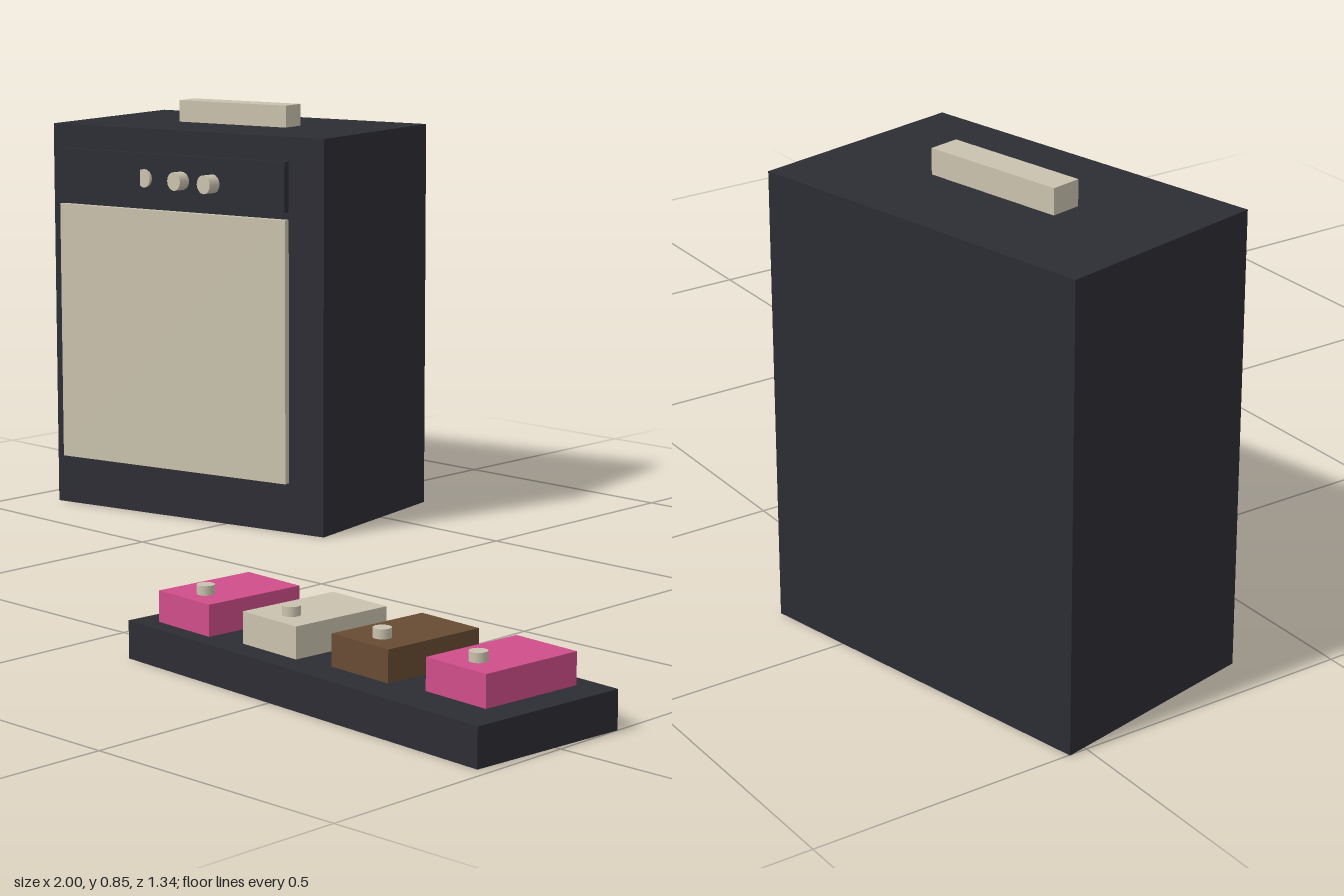
import * as THREE from 'three';

const mat = (name, color) => {
  const m = new THREE.MeshStandardMaterial({ color });
  m.name = name;
  return m;
};

export function createModel() {
  const dark = mat('charcoal', 0x2c2c34);
  const cream = mat('cream', 0xcac2ae);
  const pink = mat('pink', 0xcf4d8a);
  const brown = mat('brown', 0x674b33);

  const add = (parent, name, geometry, material, x, y, z) => {
    const mesh = new THREE.Mesh(geometry, material);
    mesh.name = name;
    mesh.position.set(x, y, z);
    parent.add(mesh);
    return mesh;
  };
  // box standing on a given base height
  const box = (parent, name, material, [w, h, d], [x, base, z]) =>
    add(parent, name, new THREE.BoxGeometry(w, h, d), material, x, base + h / 2, z);

  const model = new THREE.Group();
  model.name = 'amplifierAndPedals';

  // Amplifier, turned on the floor
  const amp = new THREE.Group();
  amp.name = 'amplifier';
  amp.position.set(-0.635, 0, -0.407);
  amp.rotation.y = 0.209;
  model.add(amp);
  box(amp, 'cabinet', dark, [0.665, 0.802, 0.398], [0, 0, 0]);
  box(amp, 'speakerGrille', cream, [0.558, 0.535, 0.03], [-0.029, 0.102, 0.198]);
  box(amp, 'controlPanel', dark, [0.558, 0.101, 0.03], [-0.029, 0.652, 0.199]);
  box(amp, 'handle', cream, [0.265, 0.045, 0.056], [0, 0.802, 0]);

  // Knobs face straight forward, in a row across the control panel
  const knobGeometry = new THREE.CylinderGeometry(0.019, 0.019, 0.027, 16).rotateX(Math.PI / 2);
  for (const x of [-0.68, -0.59, -0.503]) add(model, 'knob', knobGeometry, cream, x, 0.702, -0.19);

  // Pedalboard
  const turn = -0.07;
  const board = box(model, 'pedalboard', dark, [0.845, 0.067, 0.308], [0.5675, 0, 0.485]);
  board.rotation.y = turn;

  // Pedals, each with a foot switch
  const switchGeometry = new THREE.CylinderGeometry(0.0155, 0.0155, 0.017, 16);
  [pink, cream, brown, pink].forEach((material, i) => {
    const x = 0.254 + i * 0.204;
    const pedal = box(model, 'pedal', material, [0.133, 0.056, 0.2], [x, 0.066, 0.485]);
    pedal.rotation.y = turn;
    add(model, 'footSwitch', switchGeometry, cream, x, 0.13, 0.54);
  });

  return model;
}
